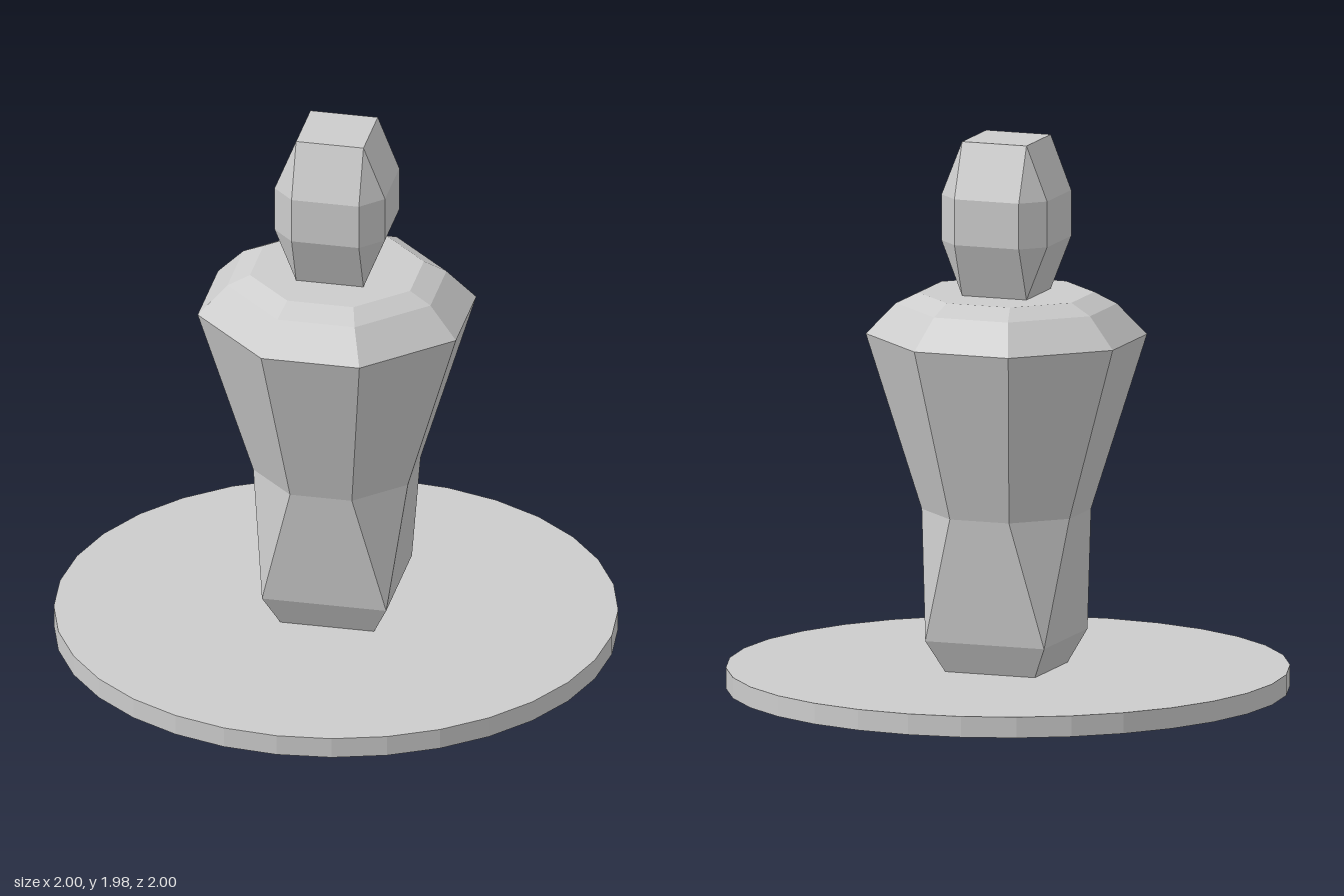
import * as THREE from 'three';

const material = new THREE.MeshStandardMaterial({ color: 0xcccccc, flatShading: true });

// Square with cut corners: a = half width, c = half length of the straight edge (c = a is a plain square)
function ring([y, a, c], depth) {
  return [[-c, a], [c, a], [a, c], [a, -c], [c, -a], [-c, -a], [-a, -c], [-a, c]]
    .map(([x, z]) => new THREE.Vector3(x, y, z * depth));
}

// Faceted solid through a stack of rings, closed at both ends
function loft(name, sections, depth) {
  const rings = sections.map((s) => ring(s, depth));
  const positions = [];
  const tri = (p, q, r) => {
    if (new THREE.Triangle(p, q, r).getArea() < 1e-7) return;
    for (const v of [p, q, r]) positions.push(v.x, v.y, v.z);
  };
  for (let i = 0; i < rings.length - 1; i++) {
    const lo = rings[i], hi = rings[i + 1];
    for (let k = 0; k < 8; k++) {
      const n = (k + 1) % 8;
      tri(lo[k], lo[n], hi[n]);
      tri(lo[k], hi[n], hi[k]);
    }
  }
  const bottom = rings[0], top = rings[rings.length - 1];
  for (let k = 1; k < 7; k++) {
    tri(top[0], top[k], top[k + 1]);
    tri(bottom[0], bottom[k + 1], bottom[k]);
  }
  const geometry = new THREE.BufferGeometry();
  geometry.setAttribute('position', new THREE.Float32BufferAttribute(positions, 3));
  geometry.computeVertexNormals();
  const mesh = new THREE.Mesh(geometry, material);
  mesh.name = name;
  mesh.position.z = -0.016;
  return mesh;
}

export function createModel() {
  const group = new THREE.Group();
  group.name = 'pawnFigure';

  // Round base plate
  const base = new THREE.Mesh(new THREE.CylinderGeometry(1, 1, 0.075, 32), material);
  base.name = 'base';
  base.position.y = 0.0375;
  group.add(base);

  // Body: square foot, octagonal waist, wide chest and sloped shoulders
  group.add(loft('body', [
    [0.075, 0.17, 0.17],
    [0.19, 0.225, 0.225],
    [0.645, 0.28, 0.112],
    [1.275, 0.468, 0.178],
    [1.385, 0.368, 0.14],
    [1.425, 0.29, 0.12],
  ], 0.963));

  // Head: square at the neck and crown, cut corners between
  group.add(loft('head', [
    [1.425, 0.122, 0.122],
    [1.62, 0.2, 0.122],
    [1.785, 0.2, 0.122],
    [1.98, 0.122, 0.122],
  ], 0.99));

  return group;
}
